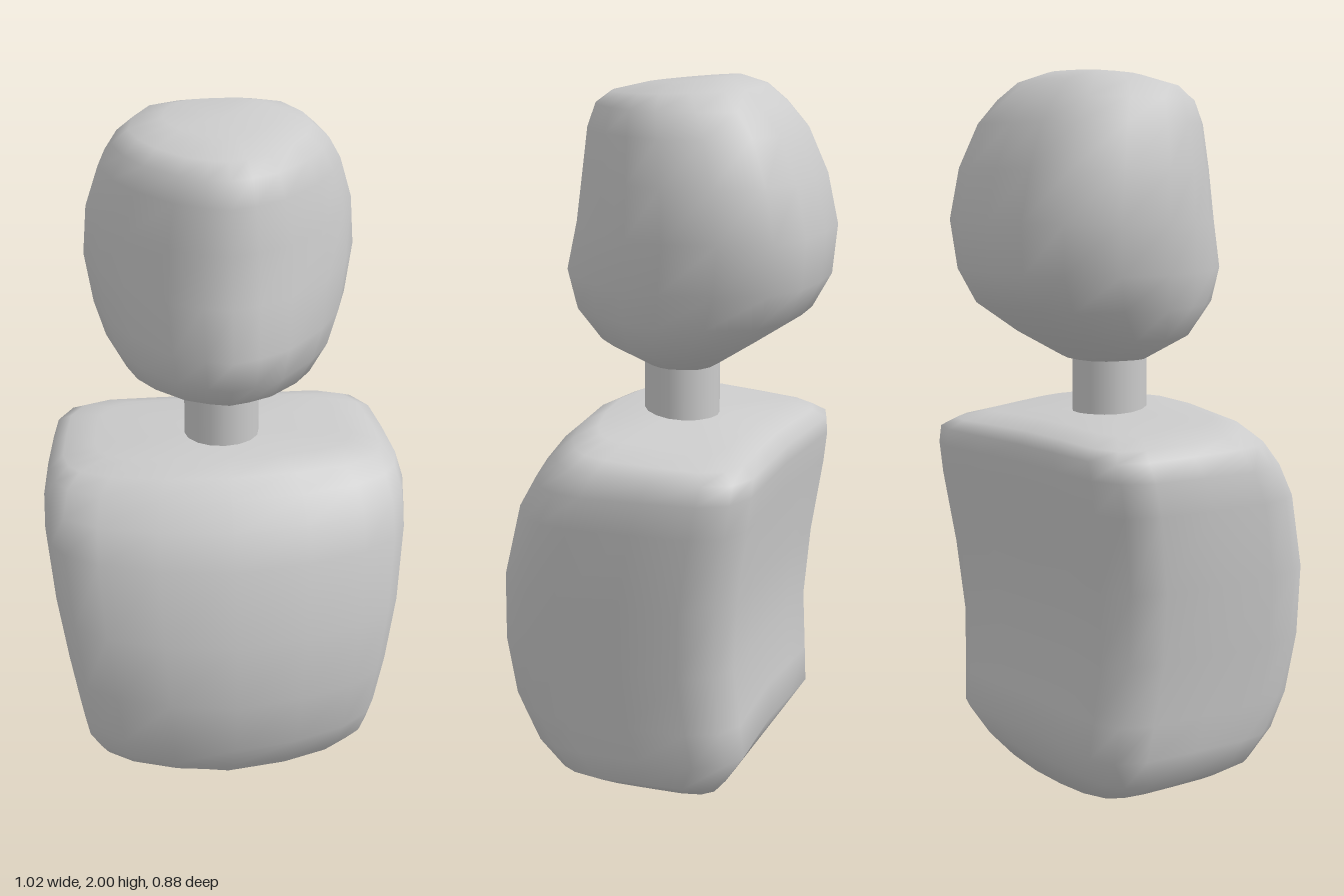
import * as THREE from 'three';

const material = new THREE.MeshStandardMaterial({ color: 0xcccccc });

// Lofts a closed, mirrored body through horizontal sections.
// half: outline points [x 0..1, depth 0 (back) .. 1 (front)]
// rows: [y, half width, back z, front z, lift by x squared, tilt by z]
function loft(name, half, rows) {
  const ring = half.concat(half.slice(1, -1).reverse().map(([x, t]) => [-x, t]));
  const n = ring.length;
  const pos = [], idx = [];
  for (const [y, w, back, front, lift = 0, tilt = 0] of rows) {
    for (const [u, t] of ring) {
      const x = u * w, z = back + t * (front - back);
      pos.push(x, y + lift * x * x + tilt * z, z);
    }
  }
  // walls
  for (let r = 0; r < rows.length - 1; r++) {
    for (let i = 0; i < n; i++) {
      const a = r * n + i, b = r * n + (i + 1) % n;
      idx.push(a, a + n, b, b, a + n, b + n);
    }
  }
  // caps
  const addCap = (r, top) => {
    const [y, , back, front, , tilt = 0] = rows[r];
    const z = (back + front) / 2, c = pos.length / 3;
    pos.push(0, y + tilt * z, z);
    for (let i = 0; i < n; i++) {
      const a = r * n + i, b = r * n + (i + 1) % n;
      if (top) idx.push(c, b, a);
      else idx.push(c, a, b);
    }
  };
  addCap(0, false);
  addCap(rows.length - 1, true);

  const geometry = new THREE.BufferGeometry();
  geometry.setAttribute('position', new THREE.Float32BufferAttribute(pos, 3));
  geometry.setIndex(idx);
  geometry.computeVertexNormals();
  const mesh = new THREE.Mesh(geometry, material);
  mesh.name = name;
  return mesh;
}

export function createModel() {
  const group = new THREE.Group();
  group.name = 'bust';

  // Torso: broad bowed chest, flat slightly hollow back
  group.add(loft('torso',
    [[0, 0.02], [0.35, 0.01], [0.68, 0], [0.85, 0.045], [0.94, 0.16], [0.975, 0.38],
      [1, 0.62], [0.97, 0.74], [0.9, 0.82], [0.72, 0.9], [0.4, 0.965], [0, 1]],
    [
      [0.003, 0.33, -0.22, 0.19, 0.5],
      [0.085, 0.4, -0.27, 0.28, 0.1],
      [0.18, 0.425, -0.327, 0.37],
      [0.28, 0.438, -0.32, 0.42],
      [0.45, 0.462, -0.307, 0.442],
      [0.65, 0.49, -0.32, 0.43],
      [0.86, 0.51, -0.35, 0.37],
      [0.95, 0.508, -0.36, 0.315],
      [1.01, 0.49, -0.36, 0.26, 0, 0.03],
      [1.05, 0.45, -0.325, 0.21, -0.05, 0.06],
      [1.078, 0.36, -0.26, 0.15, -0.1, 0.08],
    ]));

  // Neck
  const neck = new THREE.Mesh(new THREE.CylinderGeometry(0.105, 0.105, 0.26, 16), material);
  neck.name = 'neck';
  neck.position.set(0, 1.15, -0.035);
  group.add(neck);

  // Head: round skull narrowing to the face, chin pushed forward
  group.add(loft('head',
    [[0, 0], [0.4, 0.013], [0.73, 0.08], [0.93, 0.26], [1, 0.456], [0.9, 0.62],
      [0.73, 0.76], [0.44, 0.91], [0.2, 0.97], [0, 1]],
    [
      [1.215, 0.14, -0.14, 0.06, 0.3],
      [1.285, 0.262, -0.25, 0.2],
      [1.37, 0.315, -0.38, 0.28],
      [1.465, 0.345, -0.432, 0.305],
      [1.6, 0.367, -0.443, 0.272],
      [1.74, 0.356, -0.412, 0.252],
      [1.86, 0.32, -0.36, 0.237],
      [1.925, 0.285, -0.305, 0.212],
      [1.964, 0.24, -0.25, 0.165, 0, -0.04],
      [1.986, 0.15, -0.18, 0.06, 0, -0.08],
    ]));

  return group;
}
